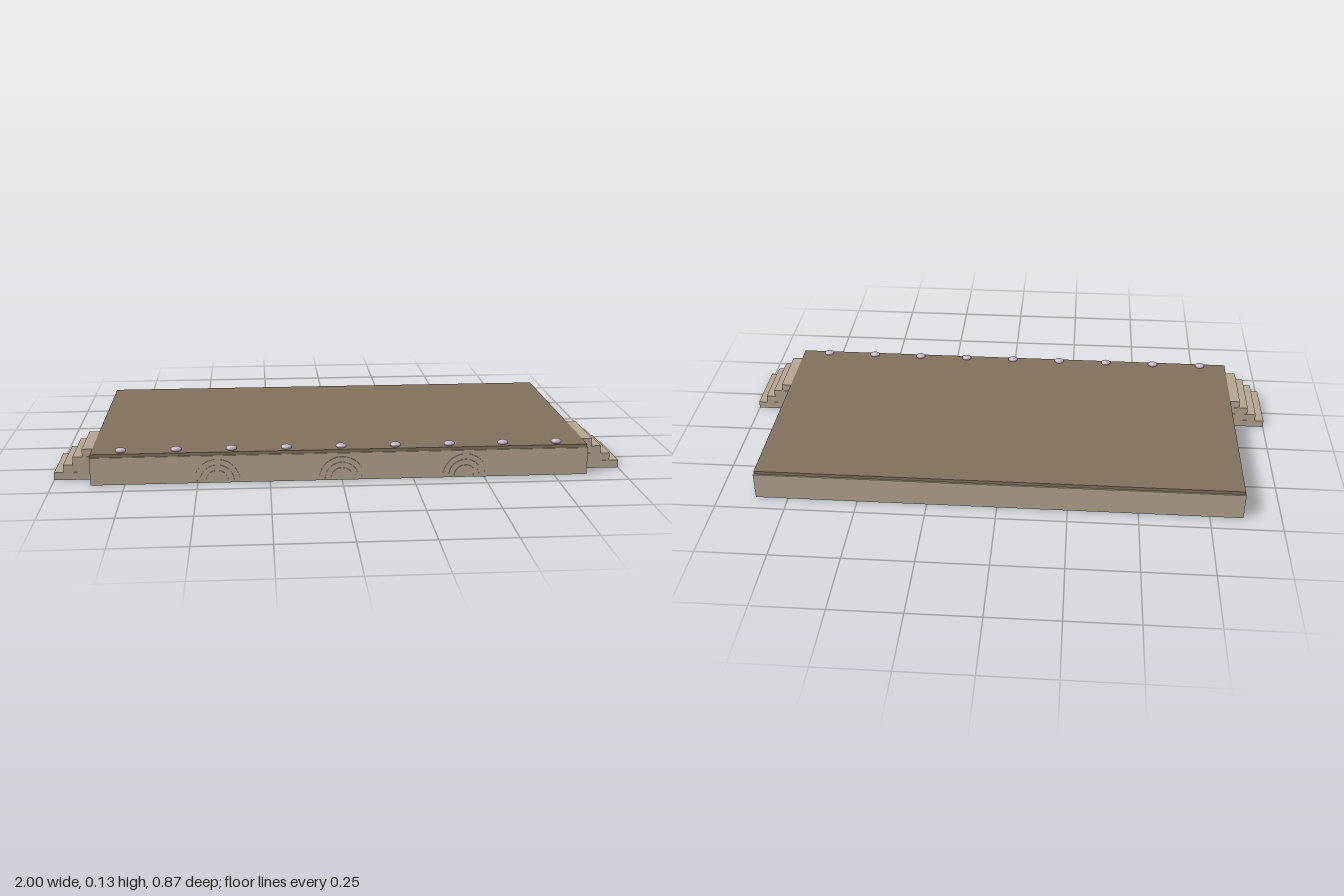
import * as THREE from 'three';

export function createModel() {
  const stone = new THREE.MeshStandardMaterial({ name: 'pale stone', color: 0xb3a490 });
  const boards = new THREE.MeshStandardMaterial({ name: 'brown boards', color: 0x80705c });
  const lampGlass = new THREE.MeshStandardMaterial({ name: 'lilac lamp', color: 0xc4b4c6 });

  const model = new THREE.Group();
  model.name = 'stage';

  const add = (parent, name, geometry, material, x, y, z) => {
    const mesh = new THREE.Mesh(geometry, material);
    mesh.name = name;
    mesh.position.set(x, y, z);
    parent.add(mesh);
    return mesh;
  };

  // Platform and the slightly inset deck on top
  add(model, 'platform', new THREE.BoxGeometry(1.734, 0.098, 0.869), stone, 0, 0.049, -0.0015);
  add(model, 'deck', new THREE.BoxGeometry(1.728, 0.012, 0.861), boards, 0, 0.104, -0.0005);

  // Four solid steps at each end, widening a little toward the ground
  for (const side of [-1, 1]) {
    const stairs = new THREE.Group();
    stairs.name = side > 0 ? 'leftStairs' : 'rightStairs';
    for (let i = 0; i < 4; i++) {
      const inner = 0.864;
      const outer = 1 - i * 0.0333;
      const geometry = new THREE.BoxGeometry(outer - inner, 0.0275, 0.218 - i * 0.002);
      add(stairs, 'step', geometry, stone, side * (inner + outer) / 2, 0.01375 + i * 0.0275, 0.26);
    }
    model.add(stairs);
  }

  // Concentric half rings in low relief on the front
  const halfRing = (outer, inner) => {
    const shape = new THREE.Shape();
    shape.absarc(0, 0, outer, 0, Math.PI, false);
    shape.absarc(0, 0, inner, Math.PI, 0, true);
    shape.closePath();
    return new THREE.ExtrudeGeometry(shape, { depth: 0.004, bevelEnabled: false, curveSegments: 20 });
  };
  for (const x of [-0.433, 0, 0.433]) {
    const fan = new THREE.Group();
    fan.name = 'fanRelief';
    for (const radius of [0.079, 0.059, 0.039]) {
      add(fan, 'reliefRing', halfRing(radius, radius - 0.01), stone, x, 0.006, 0.432);
    }
    model.add(fan);
  }

  // Row of low oval footlights along the front edge
  for (let i = -4; i <= 4; i++) {
    const lamp = add(model, 'footlight', new THREE.SphereGeometry(1, 16, 10), lampGlass, i * 0.19 - 0.002, 0.117, 0.407);
    lamp.scale.set(0.019, 0.0095, 0.0148);
  }

  return model;
}
